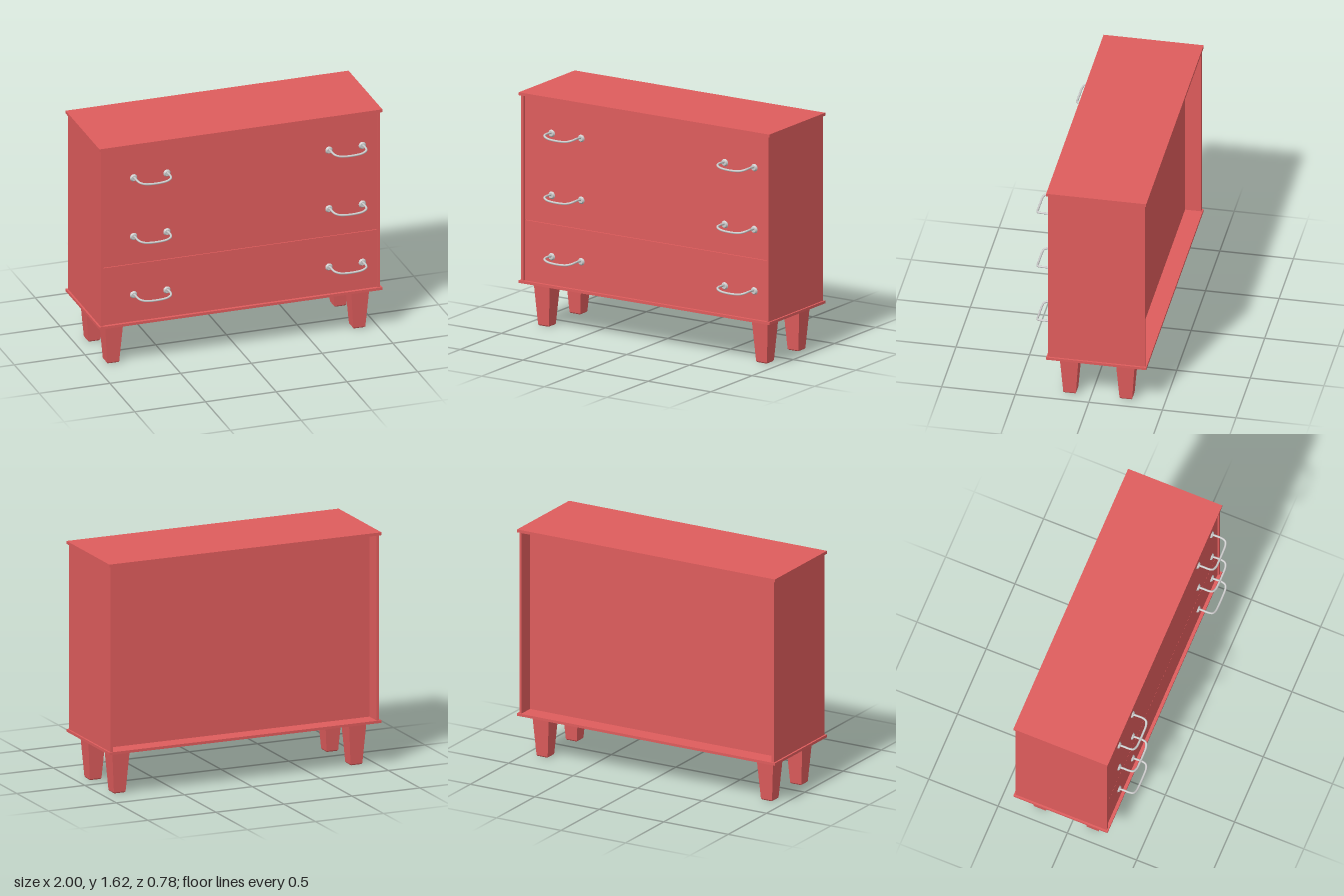
import * as THREE from 'three';

const red = new THREE.MeshStandardMaterial({ color: 0xde5c5c });
const grey = new THREE.MeshStandardMaterial({ color: 0xcccccc });

// Box given by its min and max corners
function box(name, [x0, y0, z0], [x1, y1, z1]) {
  const mesh = new THREE.Mesh(new THREE.BoxGeometry(x1 - x0, y1 - y0, z1 - z0), red);
  mesh.name = name;
  mesh.position.set((x0 + x1) / 2, (y0 + y1) / 2, (z0 + z1) / 2);
  return mesh;
}

// Square frustum standing on y, with half widths at top and bottom
function frustum(top, bottom, height, y) {
  const g = new THREE.CylinderGeometry(top * Math.SQRT2, bottom * Math.SQRT2, height, 4).toNonIndexed();
  g.rotateY(Math.PI / 4);
  g.translate(0, y + height / 2, 0);
  g.computeVertexNormals();
  return new THREE.Mesh(g, red);
}

function makeLeg() {
  const leg = new THREE.Group();
  leg.name = 'leg';
  leg.add(frustum(0.065, 0.043, 0.297, 0.008), frustum(0.043, 0.037, 0.008, 0));
  return leg;
}

// Sagging bow handle on two round base plates; origin on the drawer face
function makeHandle() {
  const handle = new THREE.Group();
  handle.name = 'handle';
  const half = 0.118;
  const side = [
    [half, 0.004, 0], [half, 0.009, 0.04], [half, 0.009, 0.075],
    [half - 0.008, 0.005, 0.102], [half - 0.035, -0.004, 0.114], [0.04, -0.01, 0.116],
  ];
  const points = [
    ...side.map(([x, y, z]) => new THREE.Vector3(-x, y, z)),
    ...side.reverse().map(([x, y, z]) => new THREE.Vector3(x, y, z)),
  ];
  const bar = new THREE.Mesh(
    new THREE.TubeGeometry(new THREE.CatmullRomCurve3(points), 48, 0.0075, 10), grey);
  bar.name = 'handleBar';
  handle.add(bar);
  for (const s of [-1, 1]) {
    const plate = new THREE.Mesh(new THREE.CylinderGeometry(0.018, 0.026, 0.012, 20), grey);
    plate.name = 'handlePlate';
    plate.rotation.x = Math.PI / 2;
    plate.position.set(s * half, 0, 0.006);
    handle.add(plate);
  }
  return handle;
}

export function createModel() {
  const chest = new THREE.Group();
  chest.name = 'chestOfDrawers';

  // Cabinet shell, open at the back behind a recessed panel
  chest.add(
    box('topBoard', [-1, 1.597, -0.39], [1, 1.617, 0.29]),
    box('bottomBoard', [-1, 0.302, -0.39], [1, 0.32, 0.29]),
    box('leftSide', [0.97, 0.32, -0.38], [0.987, 1.597, 0.28]),
    box('rightSide', [-0.987, 0.32, -0.38], [-0.968, 1.597, 0.28]),
    box('backPanel', [-0.968, 0.32, -0.27], [0.97, 1.597, -0.255]),
  );

  // Drawers with a pair of handles each
  const edges = [0.32, 0.74, 1.167, 1.595];
  const handleHeights = [0.514, 0.938, 1.365];
  const face = 0.268;
  handleHeights.forEach((y, i) => {
    const drawer = new THREE.Group();
    drawer.name = 'drawer';
    const gap = i === 0 ? 0.004 : 0;
    drawer.add(box('drawerBody', [-0.964, edges[i], -0.255], [0.97, edges[i + 1] - gap, face]));
    for (const x of [-0.633, 0.748]) {
      const handle = makeHandle();
      handle.position.set(x, y, face);
      drawer.add(handle);
    }
    chest.add(drawer);
  });

  // Four tapered legs
  for (const x of [-0.868, 0.872]) {
    for (const z of [0.147, -0.235]) {
      const leg = makeLeg();
      leg.position.set(x, 0, z);
      chest.add(leg);
    }
  }
  return chest;
}
